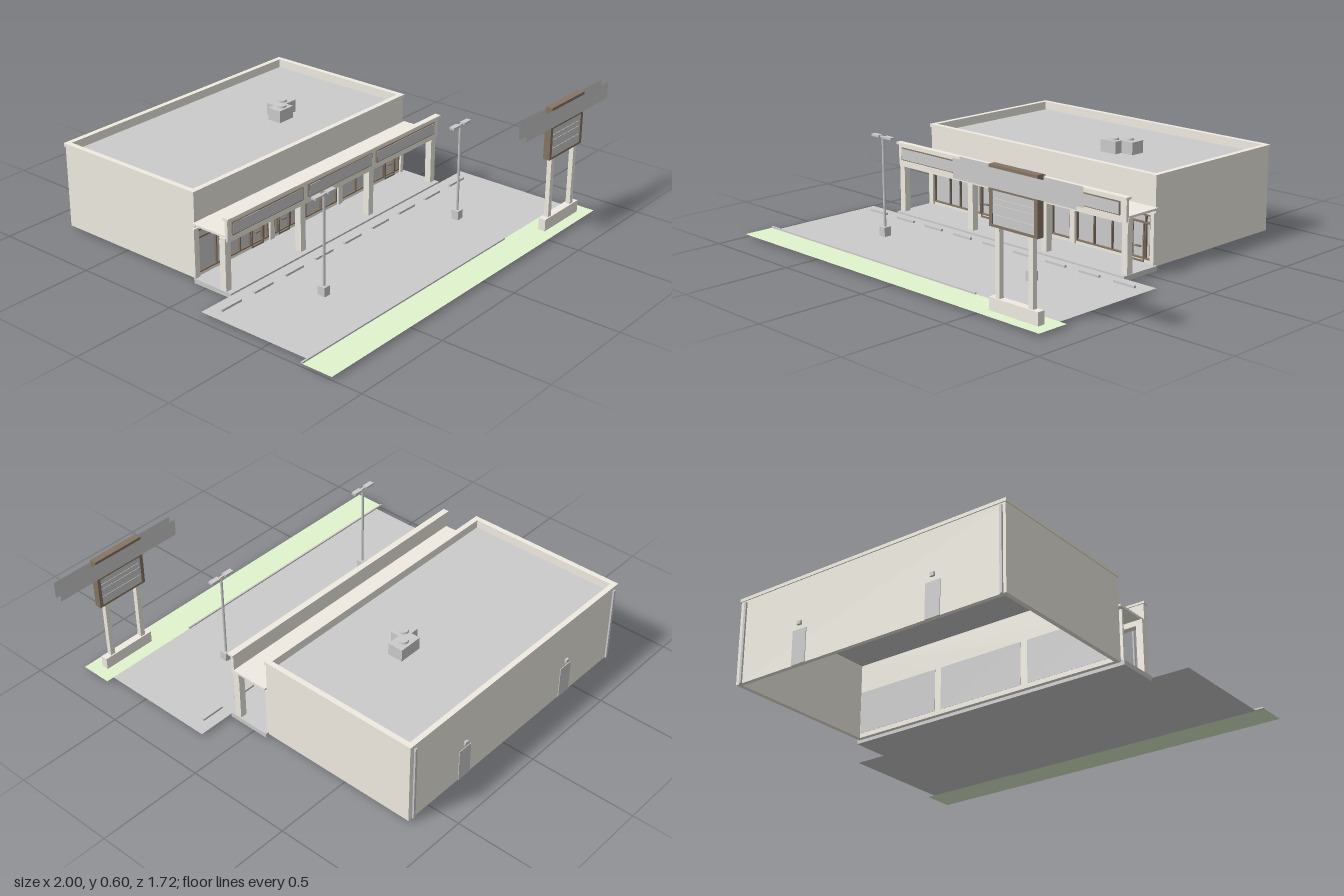
import * as THREE from 'three';

const mat = (color) => new THREE.MeshStandardMaterial({ color, side: THREE.DoubleSide });

export function createModel() {
  const root = new THREE.Group();
  const grey = mat(0xcccccc), beige = mat(0xf0ece2), brown = mat(0x857565);
  const grass = mat(0xe2f4cf), white = mat(0xffffff);

  const add = (name, geo, m, parent = root) => {
    const mesh = new THREE.Mesh(geo, m);
    mesh.name = name;
    parent.add(mesh);
    return mesh;
  };
  // Box given by its min and max along each axis
  const box = (name, m, x0, x1, y0, y1, z0, z1, parent = root) => {
    const b = add(name, new THREE.BoxGeometry(x1 - x0, y1 - y0, z1 - z0), m, parent);
    b.position.set((x0 + x1) / 2, (y0 + y1) / 2, (z0 + z1) / 2);
    return b;
  };
  const ground = (name, m, x0, x1, z0, z1, y) => {
    const p = add(name, new THREE.PlaneGeometry(x1 - x0, z1 - z0), m);
    p.rotation.x = -Math.PI / 2;
    p.position.set((x0 + x1) / 2, y, (z0 + z1) / 2);
    return p;
  };
  const rect = (P, x0, x1, y0, y1) => {
    const p = new P();
    p.moveTo(x0, y0);
    p.lineTo(x1, y0);
    p.lineTo(x1, y1);
    p.lineTo(x0, y1);
    p.closePath();
    return p;
  };
  const group = (name) => {
    const g = new THREE.Group();
    g.name = name;
    root.add(g);
    return g;
  };

  // Parking lot, verge, stall lines and wheel stops
  const Y = 0.014;
  ground('parkingLot', grey, -0.96, 0.825, 0.14, 0.705, Y);
  ground('grassVerge', grass, -1, 0.862, 0.705, 0.856, Y);
  box('curb', grey, -1, 0.36, Y, Y + 0.007, 0.703, 0.711);
  for (let i = 0; i < 10; i++) {
    const x = -0.945 + i * 0.194;
    ground('stallLine', white, x - 0.005, x + 0.005, 0.155, 0.51, Y + 0.003);
    if (i < 9) box('wheelStop', grey, x + 0.04, x + 0.154, Y, Y + 0.01, 0.194, 0.206);
  }

  // Building shell, open underneath, with three shopfront openings
  const shop = group('building');
  const bays = [[-0.755, -0.32], [-0.285, 0.147], [0.18, 0.612]];
  const X0 = -0.77, X1 = 0.634, ZB = -0.85, ZF = -0.072, T = 0.02, TOP = 0.4;
  box('backWall', beige, X0, X1, Y, TOP, ZB, ZB + T, shop);
  box('rightWall', beige, X0, X0 + T, Y, TOP, ZB + T, ZF - T, shop);
  box('leftWall', beige, X1 - T, X1, Y, TOP, ZB + T, ZF - T, shop);
  const front = rect(THREE.Shape, X0, X1, Y, TOP);
  bays.forEach(([a, b]) => front.holes.push(rect(THREE.Path, a, b, 0.035, 0.235)));
  add('frontWall', new THREE.ExtrudeGeometry(front, { depth: T, bevelEnabled: false }), beige, shop)
    .position.z = ZF - T;
  box('roof', grey, X0 + T, X1 - T, 0.37, 0.375, ZB + T, ZF - T, shop);
  const cap = rect(THREE.Shape, X0 - 0.005, X1 + 0.005, -ZF - 0.005, -ZB + 0.005);
  cap.holes.push(rect(THREE.Path, X0 + T, X1 - T, -ZF + T, -ZB - T));
  const capMesh = add('parapetCap', new THREE.ExtrudeGeometry(cap, { depth: 0.015, bevelEnabled: false }), beige, shop);
  capMesh.rotation.x = -Math.PI / 2;
  capMesh.position.y = TOP;

  // Shopfront glazing, mullions and doors
  const mullions = [
    [-0.752, -0.645, -0.575, -0.5, -0.435, -0.35, -0.323],
    [-0.282, -0.26, -0.175, -0.07, 0.035, 0.144],
    [0.183, 0.285, 0.39, 0.495, 0.58, 0.609],
  ];
  const doors = [-0.392, -0.218, 0.537];
  bays.forEach(([a, b], i) => {
    const g = group('shopfront');
    box('glass', grey, a, b, 0.035, 0.235, ZF - T - 0.001, ZF - 0.009, g);
    [[0.035, 0.041], [0.193, 0.2], [0.228, 0.235]].forEach(([y0, y1]) =>
      box('rail', brown, a, b, y0, y1, ZF - 0.009, ZF + 0.002, g));
    mullions[i].forEach((x) =>
      box('mullion', brown, x - 0.003, x + 0.003, 0.035, 0.235, ZF - 0.009, ZF + 0.002, g));
    const d = doors[i];
    for (const s of [-1, 1])
      box('doorStile', brown, d + s * 0.034 - 0.003, d + s * 0.034 + 0.003, 0.022, 0.193, ZF - 0.009, ZF + 0.004, g);
    box('doorKickRail', brown, d - 0.037, d + 0.037, 0.022, 0.03, ZF - 0.009, ZF + 0.004, g);
    box('doorHandle', brown, d - 0.015, d + 0.015, 0.085, 0.09, ZF - 0.009, ZF + 0.006, g);
  });

  // Rear service doors with lamps, and corner downpipes
  for (const x of [-0.42, 0.28]) {
    box('rearDoor', grey, x - 0.037, x + 0.037, Y, 0.17, ZB - 0.003, ZB, shop);
    box('rearDoorLamp', grey, x - 0.01, x + 0.01, 0.19, 0.207, ZB - 0.01, ZB, shop);
  }
  for (const x of [-0.75, 0.605])
    box('downpipe', grey, x - 0.006, x + 0.006, Y, 0.39, ZB - 0.008, ZB, shop);

  // Rooftop air units with fan caps
  for (const [x0, x1, z0, z1] of [[0.07, 0.16, -0.415, -0.345], [0.11, 0.225, -0.46, -0.386]]) {
    box('roofUnit', grey, x0, x1, 0.375, 0.433, z0, z1, shop);
    const fan = add('fanCap', new THREE.CylinderGeometry(0.022, 0.024, 0.009, 16), grey, shop);
    fan.position.set((x0 + x1) / 2 + 0.005, 0.437, (z0 + z1) / 2);
  }

  // Walkway and canopy
  const canopy = group('canopy');
  box('walkway', grey, -0.785, 0.648, 0, 0.022, -0.07, 0.14, canopy);
  for (const x of [-0.77, -0.303, 0.163, 0.628]) {
    box('column', beige, x - 0.016, x + 0.016, 0.022, 0.25, 0.083, 0.115, canopy);
    box('wallPilaster', beige, x - 0.014, Math.min(x + 0.014, X1), 0.022, 0.25, ZF, ZF + 0.01, canopy);
  }
  box('canopyRoof', beige, -0.78, 0.647, 0.265, 0.275, ZF, 0.11, canopy);
  box('canopyBeam', beige, -0.785, 0.647, 0.24, 0.265, 0.083, 0.115, canopy);
  box('fascia', beige, -0.78, 0.645, 0.25, 0.348, 0.11, 0.125, canopy);
  box('fasciaCap', beige, -0.787, 0.652, 0.348, 0.358, 0.105, 0.135, canopy);
  bays.forEach(([a, b]) => {
    box('fasciaPanelFrame', brown, a, b, 0.276, 0.335, 0.125, 0.132, canopy);
    box('fasciaPanel', grey, a + 0.004, b - 0.004, 0.28, 0.331, 0.132, 0.134, canopy);
    const m = (a + b) / 2;
    box('canopyLight', grey, m - 0.016, m + 0.016, 0.26, 0.265, -0.004, 0.028, canopy);
  });

  // Parking lot lamps
  for (const x of [-0.534, 0.397]) {
    const lamp = group('parkingLamp');
    box('lampBase', grey, x - 0.018, x + 0.018, Y, 0.057, 0.407, 0.443, lamp);
    const pole = add('lampPole', new THREE.CylinderGeometry(0.006, 0.006, 0.415, 8), grey, lamp);
    pole.position.set(x, 0.262, 0.425);
    box('lampArm', grey, x - 0.03, x + 0.03, 0.467, 0.473, 0.42, 0.43, lamp);
    for (const s of [-1, 1])
      box('lampHead', grey, x + s * 0.04 - 0.025, x + s * 0.04 + 0.025, 0.466, 0.476, 0.413, 0.437, lamp);
  }

  // Roadside sign: plinth, posts, framed board and wide banner
  const sign = group('roadSign');
  box('signPlinth', beige, 0.537, 0.804, Y, 0.07, 0.768, 0.802, sign);
  for (const x of [0.579, 0.759])
    box('signPost', beige, x - 0.012, x + 0.012, 0.07, 0.357, 0.774, 0.796, sign);
  for (const [x0, x1] of [[0.54, 0.557], [0.783, 0.8]])
    box('signSideFrame', brown, x0, x1, 0.355, 0.6, 0.769, 0.801, sign);
  box('signTopFrame', brown, 0.557, 0.783, 0.5, 0.6, 0.769, 0.801, sign);
  box('signBottomFrame', brown, 0.557, 0.783, 0.355, 0.365, 0.769, 0.801, sign);
  [[0.365, 0.403], [0.405, 0.443], [0.445, 0.468], [0.47, 0.5]].forEach(([y0, y1]) =>
    box('signSlat', grey, 0.557, 0.783, y0, y1, 0.773, 0.797, sign));
  for (const z of [0.7675, 0.8025])
    add('signBanner', new THREE.PlaneGeometry(0.66, 0.08), grey, sign).position.set(0.67, 0.548, z);

  return root;
}
